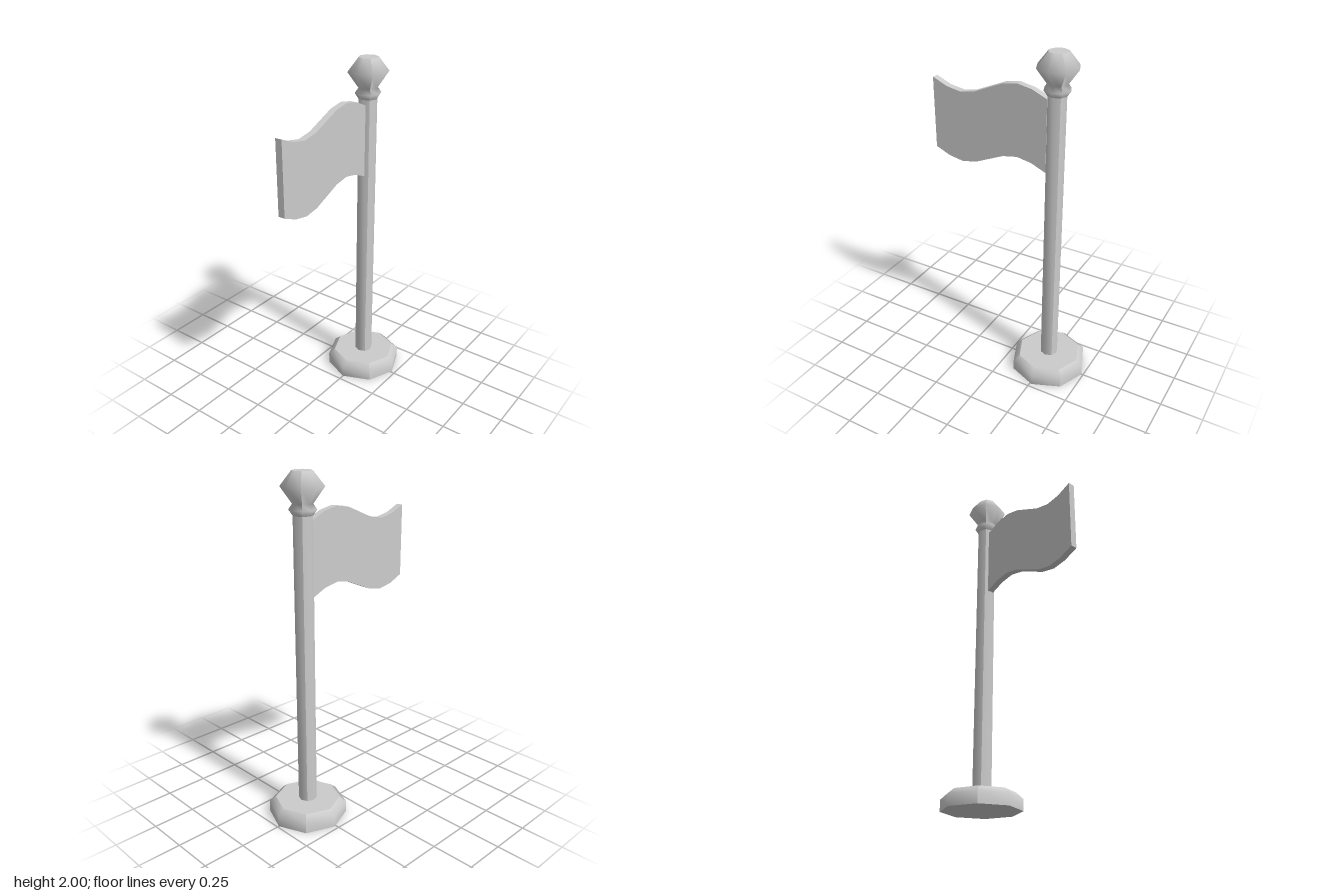
import * as THREE from 'three';
import { toCreasedNormals } from 'three/addons/utils/BufferGeometryUtils.js';

const material = new THREE.MeshStandardMaterial({ color: 0xcccccc });
const POLE_X = 0.262;

// Eight-sided turned part: four two-facet quarters with sharp edges between them, plus flat end caps
function turnedPart(name, profile) {
  const part = new THREE.Group();
  part.name = name;
  part.position.x = POLE_X;
  const points = profile.map(([r, y]) => new THREE.Vector2(r, y));
  for (let i = 0; i < 4; i++) {
    const quarter = new THREE.LatheGeometry(points, 2, (i - 0.5) * Math.PI / 2, Math.PI / 2);
    quarter.computeVertexNormals();
    const side = new THREE.Mesh(quarter, material);
    side.name = `${name}Side`;
    part.add(side);
  }
  for (const [p, tilt] of [[points[0], 1], [points[points.length - 1], -1]]) {
    const cap = new THREE.Mesh(new THREE.CircleGeometry(p.x, 8), material);
    cap.name = `${name}Cap`;
    cap.rotation.x = tilt * Math.PI / 2;
    cap.position.y = p.y;
    part.add(cap);
  }
  return part;
}

// Cloth outline: one full wave along the top and bottom edges
function createFlag() {
  const x0 = -0.494, x1 = 0.213, segments = 8, height = 0.418, thickness = 0.04;
  const top = [], bottom = [];
  for (let i = 0; i <= segments; i++) {
    const t = i / segments;
    const x = x0 + (x1 - x0) * t;
    const y = 1.745 - 0.054 * Math.sin(t * Math.PI * 2);
    top.push(new THREE.Vector2(x, y));
    bottom.push(new THREE.Vector2(x, y - height));
  }
  const shape = new THREE.Shape([...bottom, ...top.reverse()]);
  const geometry = new THREE.ExtrudeGeometry(shape, { depth: thickness, bevelEnabled: false });
  geometry.translate(0, 0, -thickness / 2 - 0.002);
  const flag = new THREE.Mesh(toCreasedNormals(geometry, 0.6), material);
  flag.name = 'flag';
  return flag;
}

export function createModel() {
  const model = new THREE.Group();
  model.name = 'flagpole';
  model.add(
    turnedPart('base', [[0.228, 0], [0.228, 0.066], [0.19, 0.1]]),
    turnedPart('pole', [[0.053, 0.09], [0.053, 1.78]]),
    turnedPart('finial', [[0.055, 1.773], [0.075, 1.803], [0.055, 1.832], [0.117, 1.92], [0.055, 2]]),
    createFlag()
  );
  return model;
}
